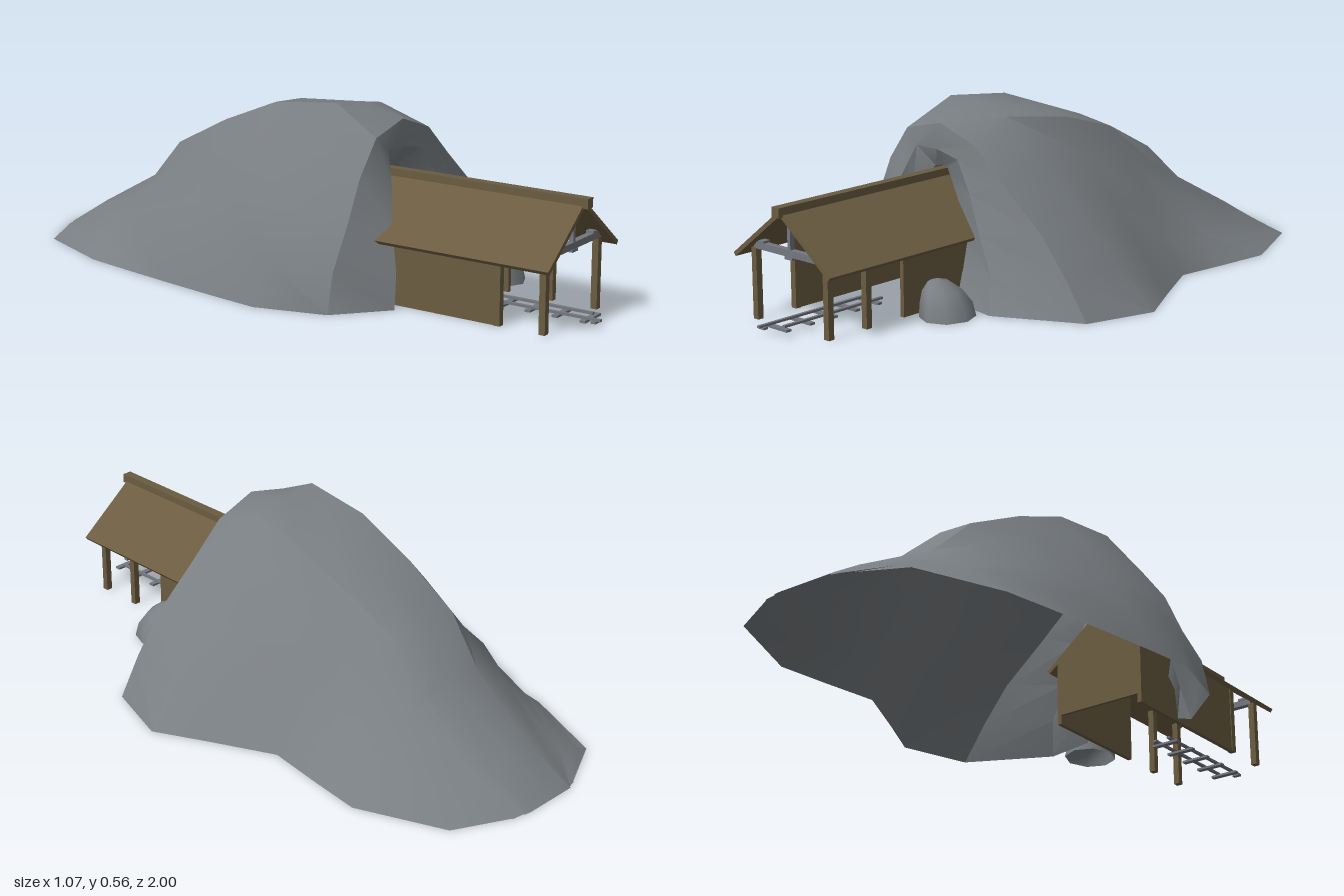
import * as THREE from 'three';
import { toCreasedNormals } from 'three/addons/utils/BufferGeometryUtils.js';

const material = (name, color) => {
  const m = new THREE.MeshStandardMaterial({ color, side: THREE.DoubleSide });
  m.name = name;
  return m;
};

export function createModel() {
  const rock = material('grey rock', 0x797e82);
  const wood = material('brown timber', 0x6b5c41);
  const steel = material('grey steel', 0x74777e);
  const model = new THREE.Group();
  const CX = -0.13; // centre line of the shed

  const add = (name, geometry, mat, parent = model) => {
    const mesh = new THREE.Mesh(geometry, mat);
    mesh.name = name;
    parent.add(mesh);
    return mesh;
  };
  // Box given by its min and max on each axis
  const box = (name, mat, [x0, x1], [y0, y1], [z0, z1], parent) => {
    const mesh = add(name, new THREE.BoxGeometry(x1 - x0, y1 - y0, z1 - z0), mat, parent);
    mesh.position.set((x0 + x1) / 2, (y0 + y1) / 2, (z0 + z1) / 2);
    return mesh;
  };

  // Hill: arches lofted from back to front, ending in the mine mouth
  // base z, crest z, base left/right, crest left/right, height left/right, crest lift, curve left/right
  const arches = [
    [-0.98, -1.0, -0.16, 0.13, -0.12, 0.06, 0.0, 0.0, 0, 1, 1],
    [-0.9, -0.86, -0.32, 0.29, -0.1, 0.08, 0.09, 0.08, 0.01, 1, 0.9],
    [-0.63, -0.61, -0.43, 0.4, -0.15, 0.07, 0.22, 0.21, 0.012, 1.1, 0.85],
    [-0.46, -0.48, -0.46, 0.38, -0.18, 0.05, 0.35, 0.33, 0.015, 1.2, 0.9],
    [-0.28, -0.28, -0.49, 0.355, -0.2, 0.06, 0.45, 0.43, 0.012, 1.3, 1],
    [-0.08, -0.08, -0.52, 0.45, -0.21, 0.05, 0.53, 0.49, 0.01, 1.35, 0.95],
    [0.08, 0.15, -0.54, 0.53, -0.22, 0.01, 0.555, 0.52, 0.004, 1.4, 1.1],
    [0.3, 0.31, -0.48, 0.46, -0.25, 0.03, 0.475, 0.46, 0.042, 1.5, 1.3],
    [0.43, 0.32, -0.33, 0.2, -0.2, -0.03, 0.43, 0.41, 0.01, 1.3, 1.3],
    [0.4, 0.29, -0.3, 0.04, -0.15, -0.1, 0.37, 0.37, 0.005, 2.4, 2],
  ];
  const steps = [0, 0.25, 0.5, 0.78, 1];
  const points = [];
  arches.forEach(([zb, zc, xl, xr, cl, cr, hl, hr, lift, curveL, curveR], i) => {
    const side = (xb, xc, h, curve, lean) => steps.map((v) => [
      xb + (xc - xb) * v ** curve + 0.01 * Math.sin(i * 2.3 + v * 9) * v * (1 - v) * 4,
      h * v,
      zb + (zc - zb) * v ** lean,
    ]);
    points.push(
      ...side(xl, cl, hl, curveL, 1.5),
      [(cl + cr) / 2, (hl + hr) / 2 + lift, zc],
      ...side(xr, cr, hr, curveR, 0.7).reverse(),
    );
  });
  const row = steps.length * 2 + 1;
  const index = [];
  for (let i = 0; i < arches.length - 1; i++) {
    for (let j = 0; j < row - 1; j++) {
      const a = i * row + j, b = a + 1, c = a + row, d = c + 1;
      index.push(a, c, b, b, c, d);
    }
  }
  const hill = new THREE.BufferGeometry();
  hill.setAttribute('position', new THREE.Float32BufferAttribute(points.flat(), 3));
  hill.setIndex(index);
  add('hill', toCreasedNormals(hill, 0.6), rock);

  // Boulder: open dome with its peak leaning toward the shed
  const dome = new THREE.SphereGeometry(1, 8, 4, 0, Math.PI * 2, 0, Math.PI / 2);
  const p = dome.attributes.position;
  for (let i = 0; i < p.count; i++) {
    const y = p.getY(i);
    p.setXYZ(i, 0.112 + p.getX(i) * 0.08 - y * y * 0.042, y * 0.107, 0.512 + p.getZ(i) * 0.086);
  }
  dome.computeVertexNormals();
  add('boulder', dome, rock);

  // Shed walls
  const shed = new THREE.Group();
  shed.name = 'shed';
  model.add(shed);
  box('leftWall', wood, [-0.287, -0.273], [0, 0.22], [0.22, 0.75], shed);
  box('rightWall', wood, [0.013, 0.027], [0, 0.22], [0.22, 0.605], shed);
  const gable = new THREE.Shape([[-0.15, 0.03], [0.15, 0.03], [0.15, 0.22], [0, 0.335], [-0.15, 0.22]]
    .map(([x, y]) => new THREE.Vector2(x, y)));
  add('backWall', new THREE.ExtrudeGeometry(gable, { depth: 0.01, bevelEnabled: false }), wood, shed)
    .position.set(CX, 0, 0.22);

  // Posts
  for (const [x, z] of [[-0.28, 0.89], [0.02, 0.89], [-0.28, 0.745], [0.02, 0.745]]) {
    box('post', wood, [x - 0.01, x + 0.01], [0, 0.215], [z - 0.01, z + 0.01], shed);
  }

  // Roof slopes and ridge beam
  for (const s of [-1, 1]) {
    const slope = add('roofSlope', new THREE.BoxGeometry(0.253, 0.013, 0.7), wood, shed);
    slope.position.set(CX + s * 0.099, 0.269, 0.58);
    slope.rotation.z = -s * 0.66;
  }
  box('ridgeBeam', wood, [CX - 0.015, CX + 0.015], [0.336, 0.365], [0.23, 0.945], shed);

  // Front truss with its brackets
  box('tieBeam', steel, [-0.278, 0.018], [0.213, 0.233], [0.88, 0.9], shed);
  box('kingPost', steel, [CX - 0.006, CX + 0.006], [0.233, 0.34], [0.882, 0.898], shed);
  for (const [x, y] of [[-0.25, 0.236], [-0.01, 0.236], [CX, 0.209]]) {
    box('bracket', steel, [x - 0.016, x + 0.016], [y - 0.004, y + 0.004], [0.878, 0.902], shed);
  }

  // Mine track
  const track = new THREE.Group();
  track.name = 'track';
  model.add(track);
  box('leftRail', steel, [-0.157, -0.147], [0.023, 0.03], [0.57, 1.0], track);
  box('rightRail', steel, [-0.107, -0.097], [0.023, 0.03], [0.57, 0.95], track);
  for (let i = 0; i < 5; i++) {
    const z = 0.6 + i * 0.088;
    box('sleeper', steel, [-0.172, -0.078], [0.016, 0.023], [z - 0.009, z + 0.009], track);
  }
  box('railEnd', steel, [-0.165, -0.14], [0.017, 0.024], [0.975, 0.99], track);
  return model;
}
